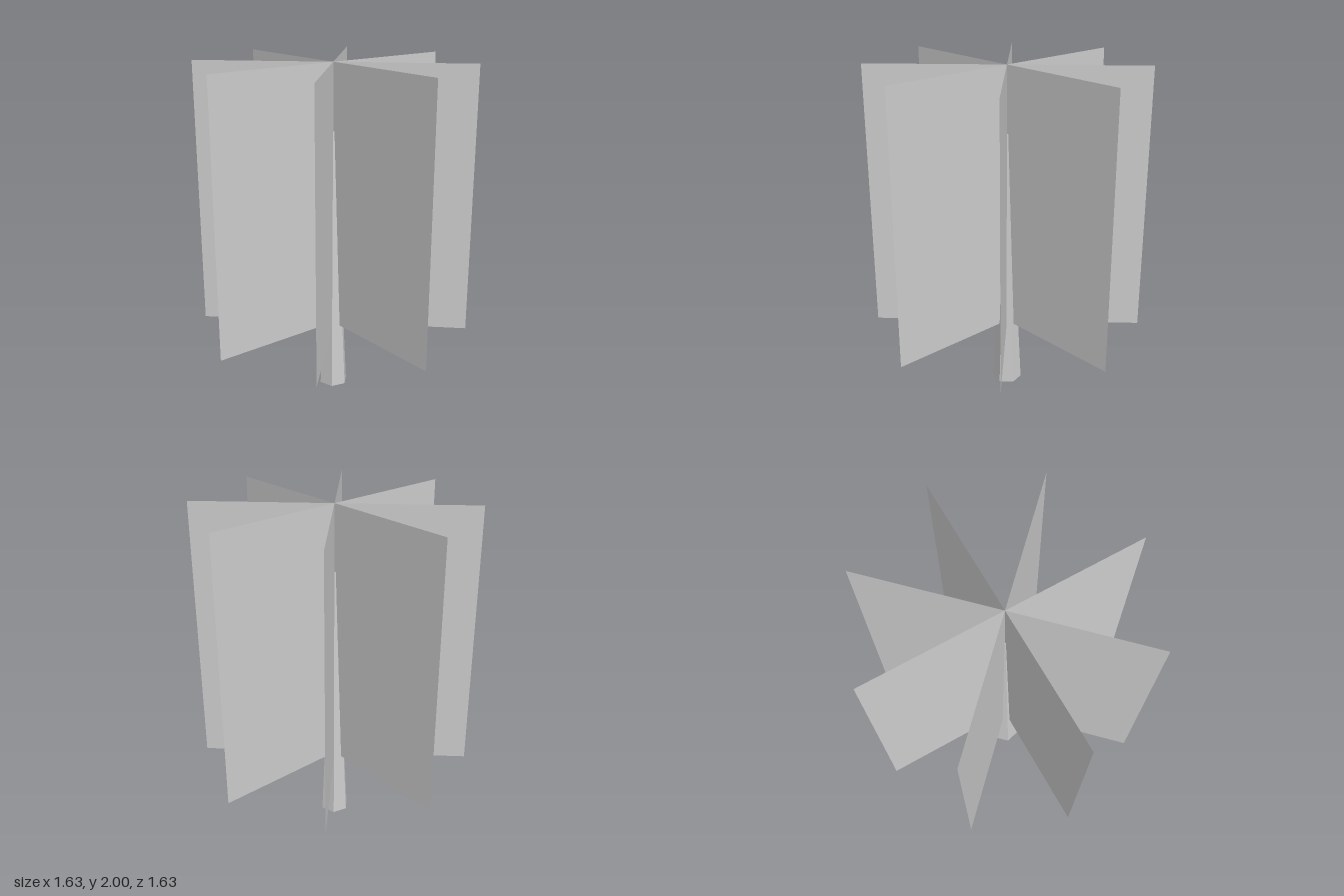
import * as THREE from 'three';

export function createModel() {
  const model = new THREE.Group();
  model.name = 'tree';

  // Tapered six-sided trunk with a corner facing the front
  const trunkHeight = 1.605;
  const trunk = new THREE.Mesh(
    new THREE.CylinderGeometry(0.012, 0.088, trunkHeight, 6),
    new THREE.MeshStandardMaterial({ color: 0xcccccc, flatShading: true })
  );
  trunk.name = 'trunk';
  trunk.position.y = trunkHeight / 2;
  model.add(trunk);

  // Four upright foliage cards crossing on the trunk axis
  const foliage = new THREE.Group();
  foliage.name = 'foliage';
  const cardGeometry = new THREE.PlaneGeometry(1.626, 1.6);
  const cardMaterial = new THREE.MeshStandardMaterial({ color: 0xcccccc, side: THREE.DoubleSide });
  for (let i = 0; i < 4; i++) {
    const card = new THREE.Mesh(cardGeometry, cardMaterial);
    card.name = `foliageCard${i + 1}`;
    card.position.y = 1.2;
    card.rotation.y = (i * Math.PI) / 4;
    foliage.add(card);
  }
  model.add(foliage);

  return model;
}
